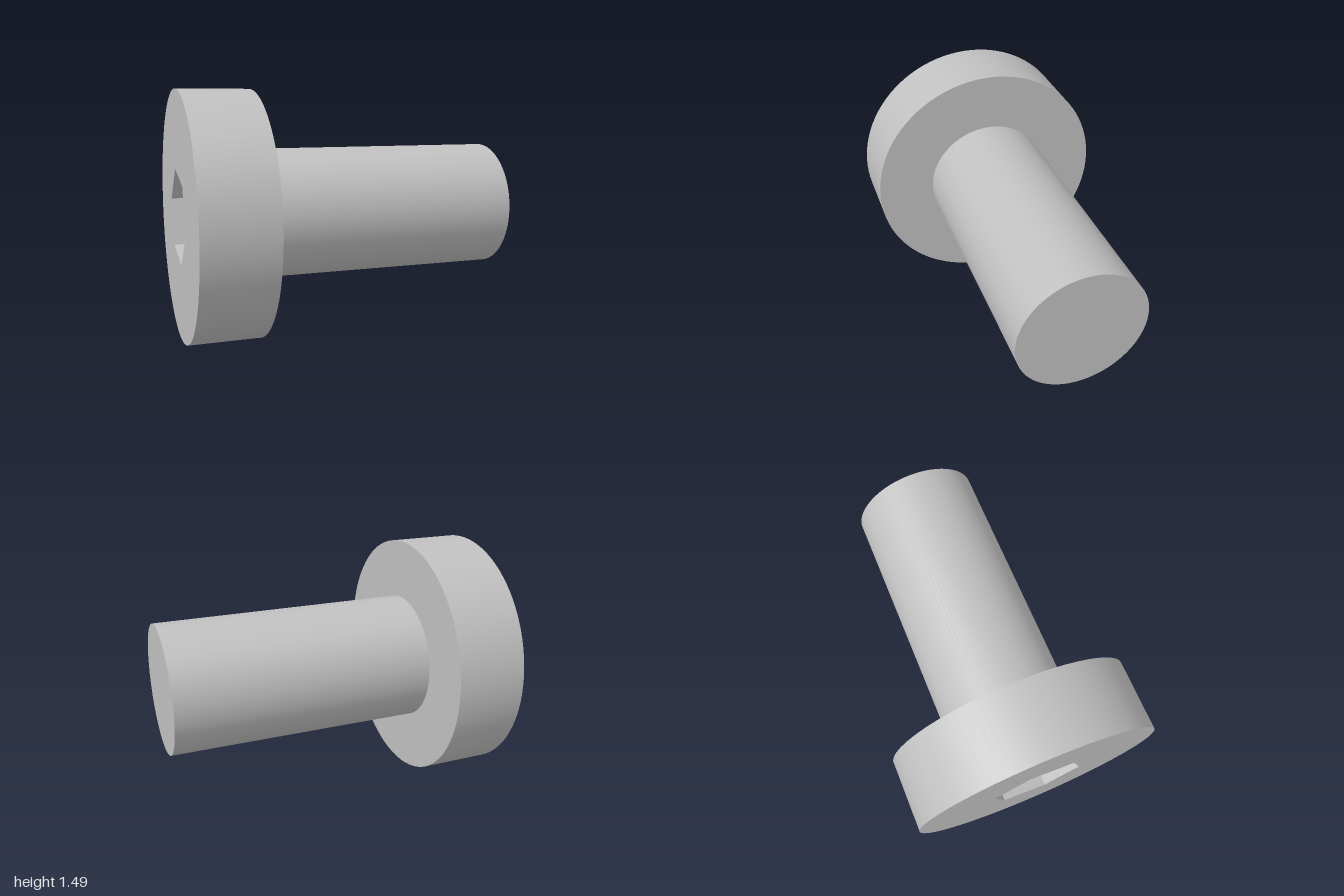
import * as THREE from 'three';
import { toCreasedNormals } from 'three/addons/utils/BufferGeometryUtils.js';

const HEAD_RADIUS = 0.745, HEAD_LENGTH = 0.43;
const SHANK_RADIUS = 0.39, SOCKET_RADIUS = 0.287, SOCKET_DEPTH = 0.39;

export function createModel() {
  const steel = new THREE.MeshStandardMaterial({ color: 0xc0c0c0 });
  steel.name = 'steel grey';
  const bolt = new THREE.Group();
  bolt.name = 'socketBolt';

  // Round head with a hexagonal socket, extruded along the bolt axis
  const disc = new THREE.Shape();
  disc.absarc(0, 0, HEAD_RADIUS, 0, Math.PI * 2, false);
  const hex = [];
  for (let i = 0; i < 6; i++) {
    const a = THREE.MathUtils.degToRad(-15.5 + i * 60);
    hex.push(new THREE.Vector2(-Math.cos(a) * SOCKET_RADIUS, Math.sin(a) * SOCKET_RADIUS));
  }
  disc.holes.push(new THREE.Path(hex));
  const headGeometry = toCreasedNormals(
    new THREE.ExtrudeGeometry(disc, { depth: HEAD_LENGTH, bevelEnabled: false, curveSegments: 48 }), 0.5);
  headGeometry.rotateY(Math.PI / 2);
  const head = new THREE.Mesh(headGeometry, steel);
  head.name = 'head';
  head.position.set(-1, HEAD_RADIUS, 0);
  bolt.add(head);

  // Plain shank; its inner end forms the floor of the socket
  const start = -1 + SOCKET_DEPTH;
  const shankGeometry = new THREE.CylinderGeometry(SHANK_RADIUS, SHANK_RADIUS, 1 - start, 96);
  shankGeometry.rotateZ(-Math.PI / 2);
  const shank = new THREE.Mesh(shankGeometry, steel);
  shank.name = 'shank';
  shank.position.set((1 + start) / 2, HEAD_RADIUS, 0);
  bolt.add(shank);

  return bolt;
}
